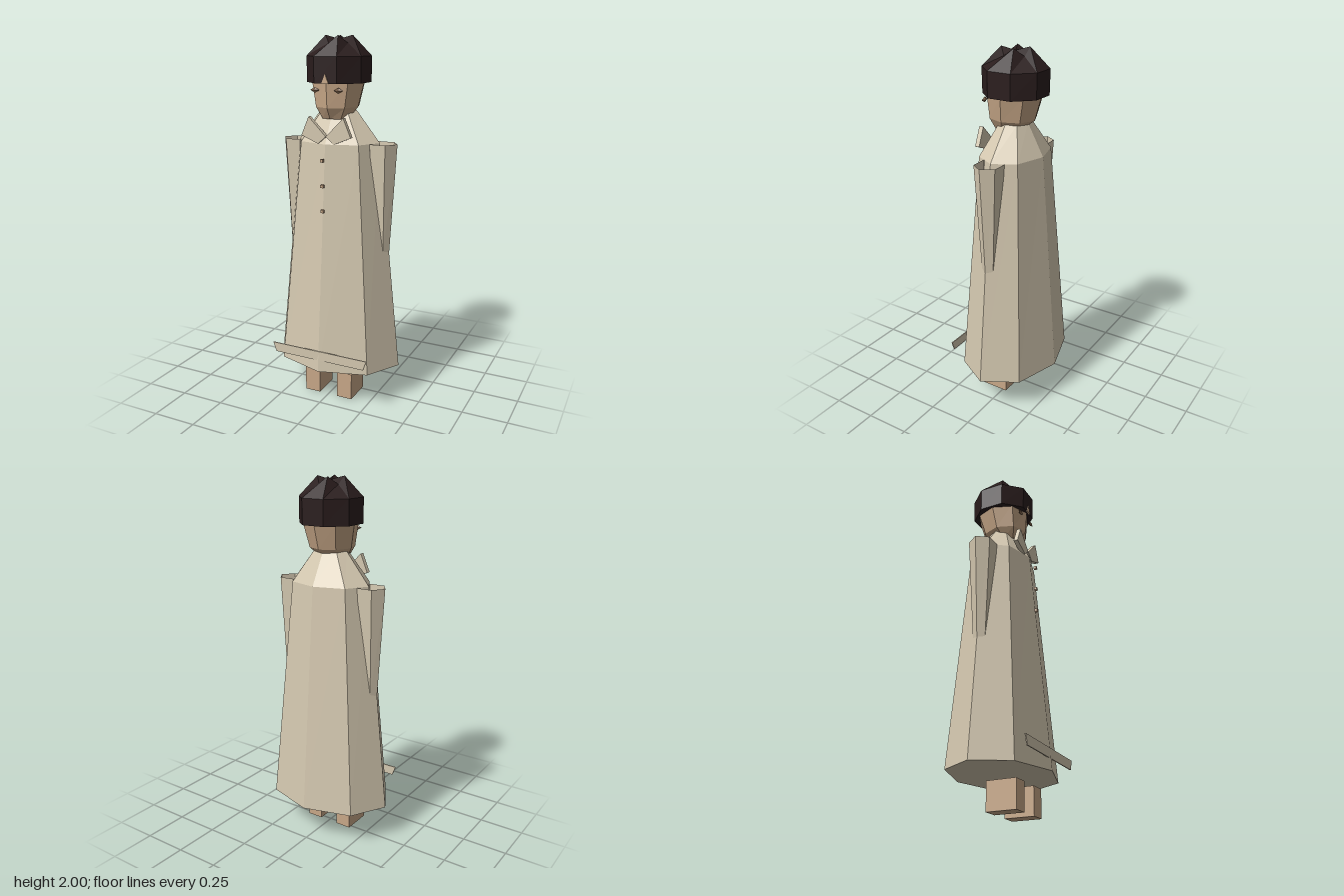
import * as THREE from 'three';

const mat = (name, color) => {
  const m = new THREE.MeshStandardMaterial({ color, flatShading: true, side: THREE.DoubleSide });
  m.name = name;
  return m;
};

// Faceted loft through elliptical rings { y, rx, rz, cx, cz, odd }; "odd" lifts every second corner.
function loft(rings, sides, { turn = 0, bottom = true, top = null } = {}) {
  const pos = [];
  const tri = (...pts) => pts.forEach((p) => pos.push(...p));
  const loops = rings.map(({ y, rx, rz, cx = 0, cz = 0, odd = 0 }) =>
    Array.from({ length: sides }, (_, i) => {
      const a = ((i + turn) / sides) * Math.PI * 2;
      return [cx + Math.cos(a) * rx, y + (i % 2) * odd, cz + Math.sin(a) * rz];
    }));
  const first = loops[0], last = loops[loops.length - 1];
  for (let i = 0; i < sides; i++) {
    const j = (i + 1) % sides;
    for (let r = 0; r + 1 < loops.length; r++) {
      const lo = loops[r], hi = loops[r + 1];
      tri(lo[i], hi[i], lo[j]);
      tri(lo[j], hi[i], hi[j]);
    }
    const base = rings[0];
    if (bottom) tri([base.cx || 0, base.y, base.cz || 0], first[i], first[j]);
    if (top !== null) tri([0, top, 0], last[j], last[i]);
  }
  const g = new THREE.BufferGeometry();
  g.setAttribute('position', new THREE.Float32BufferAttribute(pos, 3));
  g.computeVertexNormals();
  return g;
}

// Flat outline given thickness, starting at depth z.
function plate(points, z, depth) {
  const shape = new THREE.Shape(points.map(([x, y]) => new THREE.Vector2(x, y)));
  return new THREE.ExtrudeGeometry(shape, { depth, bevelEnabled: false }).translate(0, 0, z);
}

export function createModel() {
  const group = new THREE.Group();
  const cloth = mat('coatCloth', 0xd4c8b0);
  const skin = mat('skin', 0xc8a888);
  const hairMat = mat('darkHair', 0x2a1d1d);
  const eyeMat = mat('eyeBrown', 0x8f7055);

  const add = (name, geometry, material, x = 0, y = 0, z = 0) => {
    const m = new THREE.Mesh(geometry, material);
    m.name = name;
    m.position.set(x, y, z);
    group.add(m);
    return m;
  };

  // Long flared coat
  add('coat', loft([
    { y: 0.2, rx: 0.372, rz: 0.27 },
    { y: 1.45, rx: 0.238, rz: 0.168 },
    { y: 1.62, rx: 0.1, rz: 0.075 },
  ], 8, { top: 1.62 }), cloth);

  // Head
  add('head', loft([
    { y: 1.575, rx: 0.075, rz: 0.07, cz: 0.04 },
    { y: 1.635, rx: 0.117, rz: 0.13, cz: 0.015 },
    { y: 1.77, rx: 0.146, rz: 0.155 },
    { y: 1.86, rx: 0.12, rz: 0.13 },
  ], 8, { top: 1.88 }), skin);

  // Hair with a swirled, zigzag crown
  add('hair', loft([
    { y: 1.76, rx: 0.17, rz: 0.176 },
    { y: 1.895, rx: 0.17, rz: 0.179 },
    { y: 1.96, rx: 0.07, rz: 0.075, odd: 0.04 },
  ], 8, { turn: 0.5, top: 1.98 }), hairMat);

  // Forehead showing through the parting
  add('parting', plate([[-0.02, 1.76], [0.02, 1.76], [0, 1.81]], 0.16, 0.008), skin);

  // Mirrored sleeves, collar, eyes and feet
  for (const s of [1, -1]) {
    const side = s > 0 ? 'left' : 'right';
    add(side + 'Sleeve', loft([
      { y: 0.86, rx: 0.045, rz: 0.041, cx: s * 0.257 },
      { y: 1.45, rx: 0.087, rz: 0.075, cx: s * 0.25 },
    ], 6, { bottom: true }), cloth);

    const lapel = [[0.1, 1.59], [0, 1.49], [0.045, 1.45], [0.143, 1.49]];
    add(side + 'Lapel', plate(lapel.map(([x, y]) => [s * x, y]), 0.136, 0.025), cloth);

    const eye = add(side + 'Eye', new THREE.OctahedronGeometry(1), eyeMat, s * 0.068, 1.726, 0.147);
    eye.scale.set(0.027, 0.015, 0.01);

    add(side + 'Foot', new THREE.BoxGeometry(0.09, 0.152, 0.165), skin, s * 0.1, 0.076, 0.06);
  }

  // Buttons down the front
  for (const y of [1.1, 1.235, 1.37]) {
    add('button', new THREE.BoxGeometry(0.016, 0.016, 0.016), skin, 0, y, 0.203);
  }

  // Hem band
  add('hemBand', plate([[-0.287, 0.317], [-0.268, 0.264], [0.268, 0.264], [0.287, 0.317]], 0.256, 0.006), cloth);

  return group;
}
